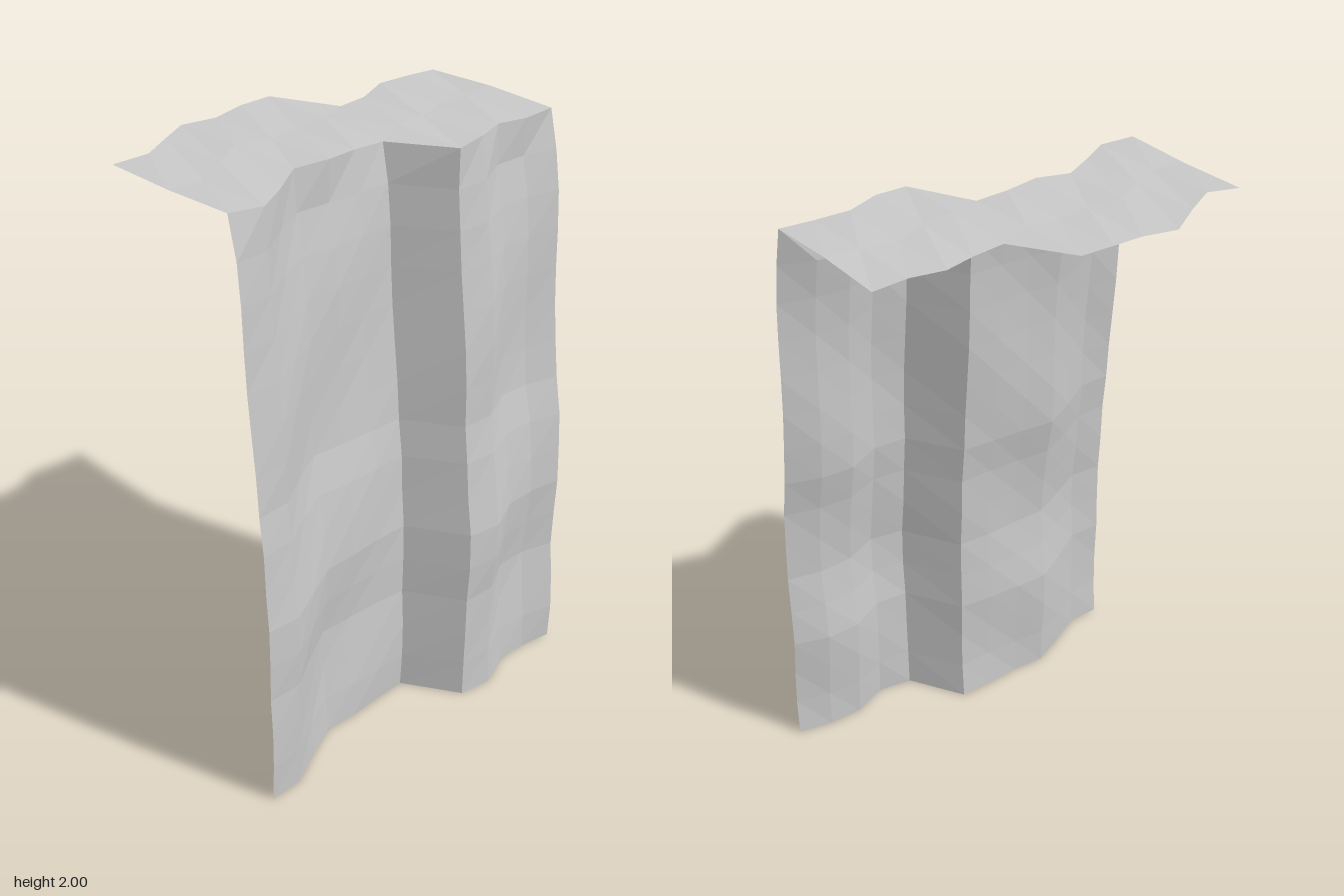
import * as THREE from 'three';

const STEP = 0.12, COLS = 11, ROWS = 15, TOP = 1.99;
// depth of the rim and of the lower wall at each column
const rim = [0.24, 0.255, 0.18, 0.1, 0.12, 0.1, 0.095, 0.305, 0.285, 0.235, 0.245, 0.24];
const foot = [0.385, 0.38, 0.305, 0.237, 0.237, 0.232, 0.232, 0.422, 0.43, 0.365, 0.36, 0.385];
// forward lean of the wall at each row, bottom to top
const lean = [0.125, 0.125, 0.12, 0.115, 0.125, 0.13, 0.118, 0.105, 0.083, 0.075, 0.068, 0.06, 0.05, 0.037, 0.018, 0];

// faceted sheet from a grid of points, diagonals running lower left to upper right
function sheet(name, rows, point, material) {
  const pos = [], index = [];
  for (let r = 0; r <= rows; r++) {
    for (let c = 0; c <= COLS; c++) pos.push(...point(c, r));
  }
  for (let r = 0; r < rows; r++) {
    for (let c = 0; c < COLS; c++) {
      const a = r * (COLS + 1) + c, b = a + 1, d = a + COLS + 1, e = d + 1;
      index.push(a, b, e, a, e, d);
    }
  }
  const g = new THREE.BufferGeometry();
  g.setAttribute('position', new THREE.Float32BufferAttribute(pos, 3));
  g.setIndex(index);
  g.computeVertexNormals();
  const mesh = new THREE.Mesh(g, material);
  mesh.name = name;
  return mesh;
}

export function createModel() {
  const group = new THREE.Group();
  group.name = 'cliff';
  const rock = new THREE.MeshStandardMaterial({ color: 0xc8c8c8, flatShading: true, side: THREE.DoubleSide });
  rock.name = 'grey rock';

  const colX = (c) => (c - COLS / 2) * STEP;
  // gentle lift along the rim, shared by wall and ledge
  const rimY = (c, r) => TOP + 0.006 * Math.sin(c * 1.5 + 2 + r * 1.9);

  // upright rock face with diagonal ripples
  group.add(sheet('cliffFace', ROWS, (c, r) => {
    if (r === ROWS) return [colX(c), rimY(c, 0), rim[c]];
    const ripple = 0.008 * Math.sin((r - c - 0.8) * Math.PI / 3);
    return [colX(c), r * TOP / ROWS, foot[c] - 0.137 + lean[r] + ripple];
  }, rock));

  // ledge running back from the rim
  group.add(sheet('topLedge', 2, (c, r) => [colX(c), rimY(c, r), rim[c] - r * 0.265], rock));

  return group;
}
